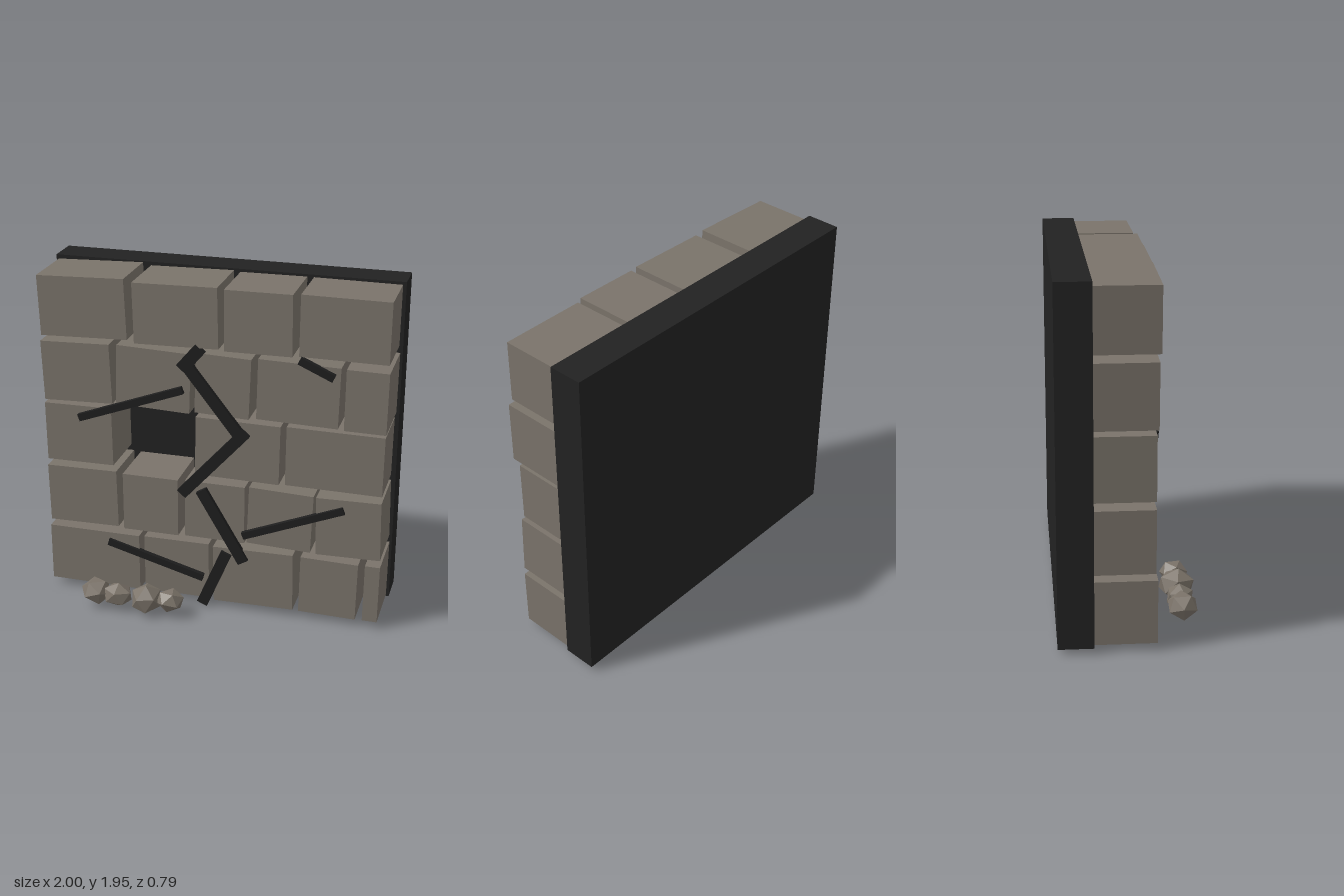
import * as THREE from 'three';

export function createModel() {
  const wall = new THREE.Group();
  wall.name = 'crackedStoneWall';

  const material = (name, color) => {
    const m = new THREE.MeshStandardMaterial({ color });
    m.name = name;
    return m;
  };
  const stone = material('stone', 0x7a736a);
  const mortar = material('darkMortar', 0x222222);
  const crackDark = material('crackDark', 0x1e1e1e);
  const rubbleStone = material('rubbleStone', 0x7a7268);
  rubbleStone.flatShading = true;

  const group = (name) => {
    const g = new THREE.Group();
    g.name = name;
    wall.add(g);
    return g;
  };
  const box = (parent, name, mat, w, h, d, x, y, z, tilt = 0) => {
    const mesh = new THREE.Mesh(new THREE.BoxGeometry(w, h, d), mat);
    mesh.name = name;
    mesh.position.set(x, y, z);
    mesh.rotation.z = tilt;
    parent.add(mesh);
  };

  // Backing slab
  box(wall, 'backing', mortar, 2, 1.92, 0.19, 0, 1, -0.305);

  // Courses, bottom to top: each stone is [left, right, tilt in degrees, front z]
  const courses = [
    { y0: 0.05, y1: 0.4, stones: [
      [-0.98, -0.43, 0, 0.12], [-0.4, -0.01, 0.4, 0.11], [0.02, 0.49, 1, 0.12],
      [0.53, 0.86, -1, 0.12], [0.9, 0.985, -0.5, 0.12]] },
    { y0: 0.44, y1: 0.79, stones: [
      [-0.98, -0.56, 1, 0.11], [-0.52, -0.19, 0, 0.12], [-0.15, 0.2, -0.3, 0.11],
      [0.22, 0.59, -2, 0.11], [0.615, 0.98, 1.3, 0.12]] },
    { y0: 0.83, y1: 1.18, stones: [
      [-0.98, -0.58, 0.6, 0.11], [-0.09, 0.395, -0.8, 0.1], [0.43, 0.975, -0.5, 0.1]] },
    { y0: 1.21, y1: 1.56, stones: [
      [-0.98, -0.575, 2, 0.12], [-0.545, -0.115, -2, 0.11], [-0.085, 0.225, -2, 0.11],
      [0.265, 0.72, -1.2, 0.11], [0.755, 0.985, -0.5, 0.135]] },
    { y0: 1.6, y1: 1.945, stones: [
      [-0.98, -0.475, 2, 0.13], [-0.43, 0.05, 1.2, 0.135], [0.085, 0.46, 0.5, 0.135],
      [0.495, 0.98, -0.3, 0.115]] },
  ];
  const stones = group('stones');
  const back = -0.24;
  for (const { y0, y1, stones: row } of courses) {
    for (const [x0, x1, tilt, front] of row) {
      box(stones, 'stoneBlock', stone, x1 - x0, y1 - y0, front - back,
        (x0 + x1) / 2, (y0 + y1) / 2, (front + back) / 2, THREE.MathUtils.degToRad(tilt));
    }
  }

  // Crack strips: [x1, y1, x2, y2, width]
  const cracks = group('cracks');
  [
    [-0.05, 1.6, -0.16, 1.47, 0.07],
    [-0.135, 1.5, 0.175, 1.105, 0.065],
    [0.205, 1.13, -0.165, 0.715, 0.065],
    [-0.05, 0.75, 0.2, 0.325, 0.065],
    [0.1, 0.37, -0.045, 0.02, 0.065],
    [-0.77, 1.115, -0.155, 1.345, 0.042],
    [-0.615, 0.345, -0.04, 0.19, 0.042],
    [0.195, 0.495, 0.77, 0.73, 0.042],
    [0.5, 1.585, 0.69, 1.5, 0.042],
  ].forEach(([x1, y1, x2, y2, w]) => {
    const dx = x2 - x1, dy = y2 - y1;
    box(cracks, 'crackStrip', crackDark, Math.hypot(dx, dy), w, 0.03,
      (x1 + x2) / 2, (y1 + y2) / 2, 0.122, Math.atan2(dy, dx));
  });

  // Fallen rubble: [x, y, width, height, depth, turn]
  const rubble = group('rubble');
  [
    [-0.64, 0.1, 0.18, 0.155, 0.17, 0.3],
    [-0.51, 0.095, 0.18, 0.14, 0.155, 1.1],
    [-0.335, 0.095, 0.18, 0.17, 0.21, 2.0],
    [-0.19, 0.105, 0.16, 0.13, 0.16, 2.9],
  ].forEach(([x, y, w, h, d, turn]) => {
    const geometry = new THREE.IcosahedronGeometry(0.52, 0);
    geometry.rotateX(turn).rotateY(turn * 1.7).scale(w, h, d);
    geometry.computeVertexNormals();
    const rock = new THREE.Mesh(geometry, rubbleStone);
    rock.name = 'rubbleRock';
    rock.position.set(x, y, 0.29);
    rubble.add(rock);
  });

  return wall;
}
